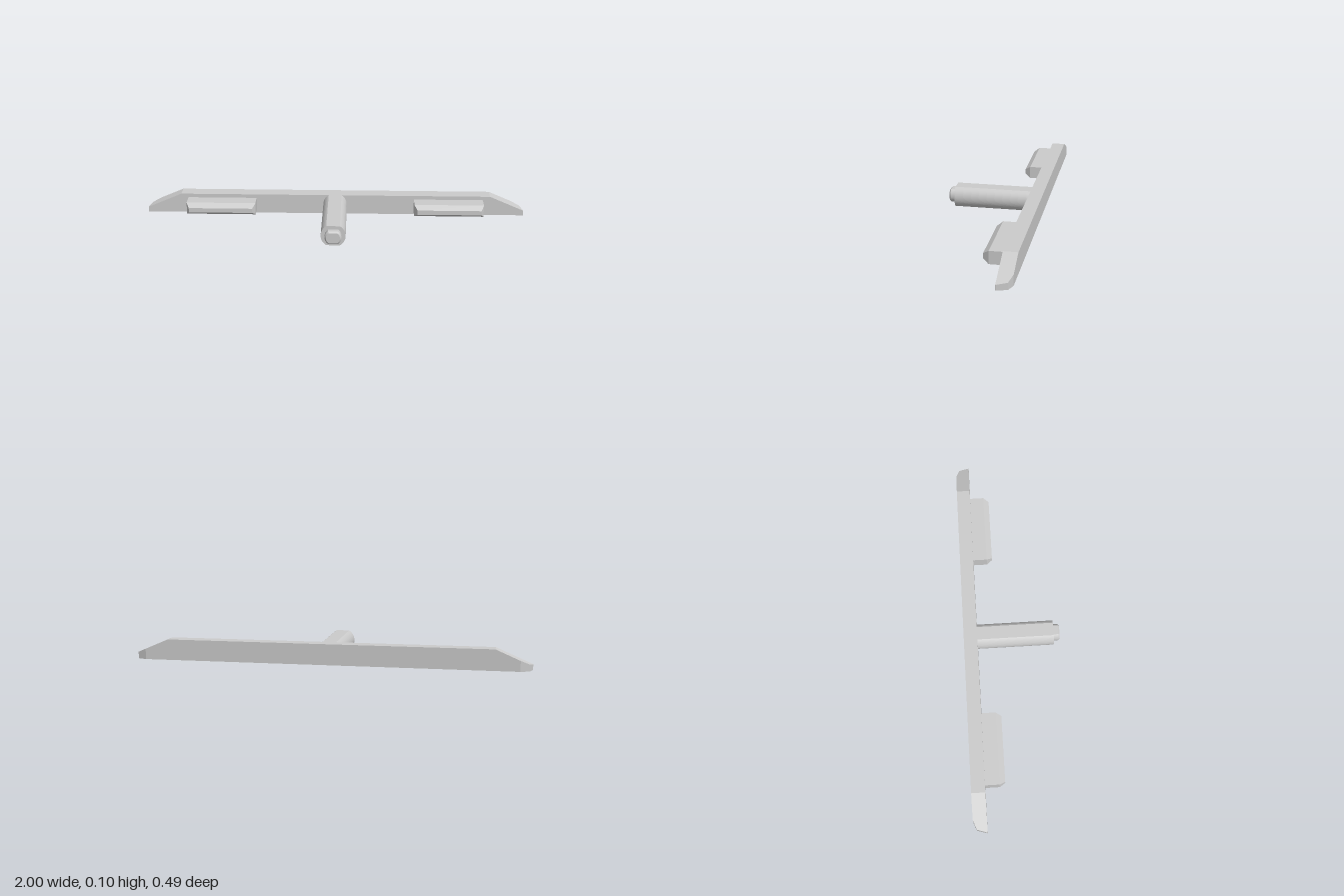
import * as THREE from 'three';

const material = new THREE.MeshStandardMaterial({ color: 0xcccccc, flatShading: true });

// Flat-faced solid through four-cornered sections, corners counter-clockwise seen from the last section
function loft(sections) {
  const pos = [];
  const quad = (a, b, c, d) => pos.push(...a, ...b, ...c, ...a, ...c, ...d);
  for (let s = 0; s + 1 < sections.length; s++) {
    const a = sections[s], b = sections[s + 1];
    for (let i = 0; i < 4; i++) {
      const j = (i + 1) % 4;
      quad(a[i], a[j], b[j], b[i]);
    }
  }
  quad(...[...sections[0]].reverse());
  quad(...sections[sections.length - 1]);
  const g = new THREE.BufferGeometry();
  g.setAttribute('position', new THREE.Float32BufferAttribute(pos, 3));
  g.computeVertexNormals();
  return g;
}

// Circle with its top and bottom cut flat
function flattenedCircle(radius, halfHeight) {
  const a = Math.asin(halfHeight / radius);
  const shape = new THREE.Shape();
  shape.absarc(0, 0, radius, -a, a, false);
  shape.absarc(0, 0, radius, Math.PI - a, Math.PI + a, false);
  shape.closePath();
  return shape;
}

export function createModel() {
  const group = new THREE.Group();
  const add = (name, geometry, x = 0, y = 0, z = 0) => {
    const mesh = new THREE.Mesh(geometry, material);
    mesh.name = name;
    mesh.position.set(x, y, z);
    group.add(mesh);
  };

  const H = 0.105, FRONT = -0.176, MID = H / 2;

  // Crossbar: ends slope down from the top and are chamfered at the back
  const half = [[0.82, H, -0.245], [0.94, 0.053, -0.245], [0.985, 0.0335, -0.228], [1, 0.027, -0.18]];
  const stations = [
    ...half.map(([x, y, z]) => [-x, y, z]).reverse(),
    ...half,
  ];
  add('crossbar', loft(stations.map(([x, top, back]) => [
    [x, 0, FRONT], [x, 0, back], [x, top, back], [x, top, FRONT],
  ])));

  // Pads on the front of the bar, tapered towards their front face
  const rect = (w, h, z) => [[w, -h, z], [w, h, z], [-w, h, z], [-w, -h, z]];
  for (const side of [1, -1]) {
    add(side > 0 ? 'leftPad' : 'rightPad', loft([
      rect(0.182, 0.032, 0), rect(0.182, 0.032, 0.071), rect(0.167, 0.012, 0.099),
    ]), side * 0.6, 0.053, FRONT);
  }

  // Central stem
  add('stem', new THREE.ExtrudeGeometry(flattenedCircle(0.0625, MID), {
    depth: 0.215 - FRONT, bevelEnabled: false, curveSegments: 12,
  }), 0, MID, FRONT);

  // Stub at the end of the stem with a chamfered rim
  add('stemTip', new THREE.ExtrudeGeometry(flattenedCircle(0.042, 0.0345), {
    depth: 0.035, bevelEnabled: true, bevelSegments: 1, bevelSize: 0.007,
    bevelThickness: 0.007, bevelOffset: -0.007, curveSegments: 8,
  }), 0, 0.0535, 0.205);

  return group;
}
